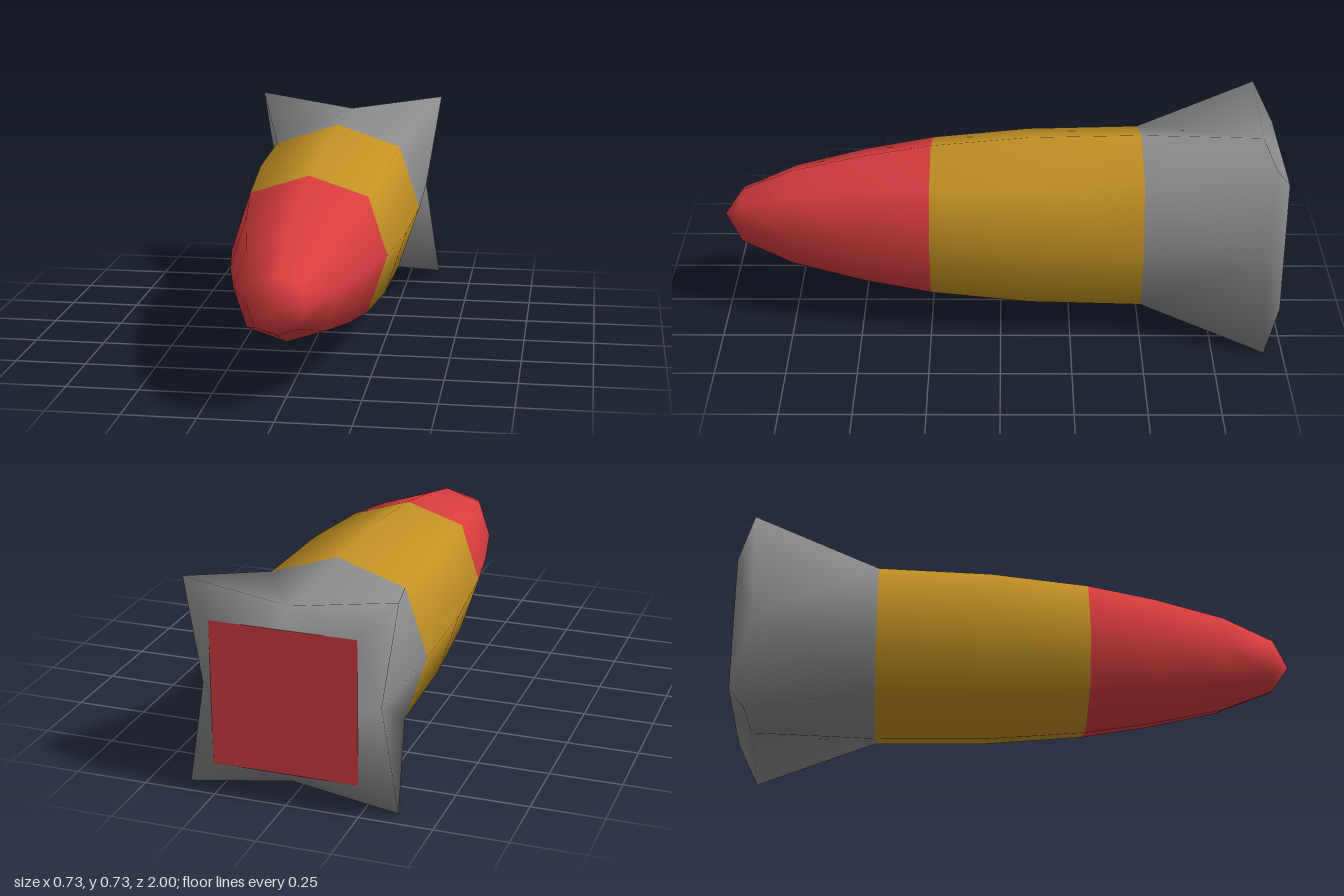
import * as THREE from 'three';

const AXIS_Y = 0.364;

function material(name, color) {
  const m = new THREE.MeshStandardMaterial({ color });
  m.name = name;
  return m;
}

// Eight-sided rings from nose to tail: [z, reach along x/y axes, reach of diagonal corners in x and y]
const RINGS = [
  [0.935, 0.097, 0.073],
  [0.745, 0.176, 0.132],
  [0.49, 0.235, 0.177],
  [0.25, 0.276, 0.208],
  [-0.1, 0.309, 0.232],
  [-0.5, 0.318, 0.239],
  [-0.935, 0.307, 0.364], // flared fin tips
  [-1, 0.25, 0.25],       // square base
];

export function createModel() {
  const group = new THREE.Group();
  const red = material('red', 0xda3d3f);
  const gold = material('gold', 0xc39223);
  const grey = material('grey', 0x8b8b8b);

  // Hull vertices: a single nose point, then the rings
  const positions = [0, AXIS_Y, 1];
  for (const [z, axial, diagonal] of RINGS) {
    for (let j = 0; j < 8; j++) {
      const a = (j * Math.PI) / 4;
      const r = j % 2 ? diagonal * Math.SQRT2 : axial;
      positions.push(r * Math.cos(a), AXIS_Y + r * Math.sin(a), z);
    }
  }
  const at = (ring, j) => 1 + ring * 8 + (j % 8);

  // Faces between one ring and the next; the diagonals crease the fins
  function band(ring, parity) {
    const out = [];
    for (let j = 0; j < 8; j++) {
      const f0 = at(ring, j), f1 = at(ring, j + 1);
      const b0 = at(ring + 1, j), b1 = at(ring + 1, j + 1);
      if (j % 2 === parity) out.push(f0, b0, b1, f0, b1, f1);
      else out.push(f0, b0, f1, b0, b1, f1);
    }
    return out;
  }

  const tip = [];
  for (let j = 0; j < 8; j++) tip.push(0, at(0, j), at(0, j + 1));

  const sections = [
    ['noseCone', red, [...tip, ...band(0, 1), ...band(1, 1), ...band(2, 1)]],
    ['body', gold, [...band(3, 1), ...band(4, 1)]],
    ['finnedTail', grey, [...band(5, 1), ...band(6, 0)]],
  ];

  // Smooth normals over the whole hull, shared by its coloured sections
  const hull = new THREE.BufferGeometry();
  hull.setAttribute('position', new THREE.Float32BufferAttribute(positions, 3));
  hull.setIndex(sections.flatMap((s) => s[2]));
  hull.computeVertexNormals();

  for (const [name, mat, index] of sections) {
    const geometry = new THREE.BufferGeometry();
    geometry.setAttribute('position', hull.getAttribute('position'));
    geometry.setAttribute('normal', hull.getAttribute('normal'));
    geometry.setIndex(index);
    const mesh = new THREE.Mesh(geometry, mat);
    mesh.name = name;
    group.add(mesh);
  }

  // Flat square base facing backwards
  const base = new THREE.Mesh(new THREE.PlaneGeometry(0.5, 0.5), red);
  base.name = 'basePlate';
  base.rotation.y = Math.PI;
  base.position.set(0, AXIS_Y, -1);
  group.add(base);

  return group;
}
